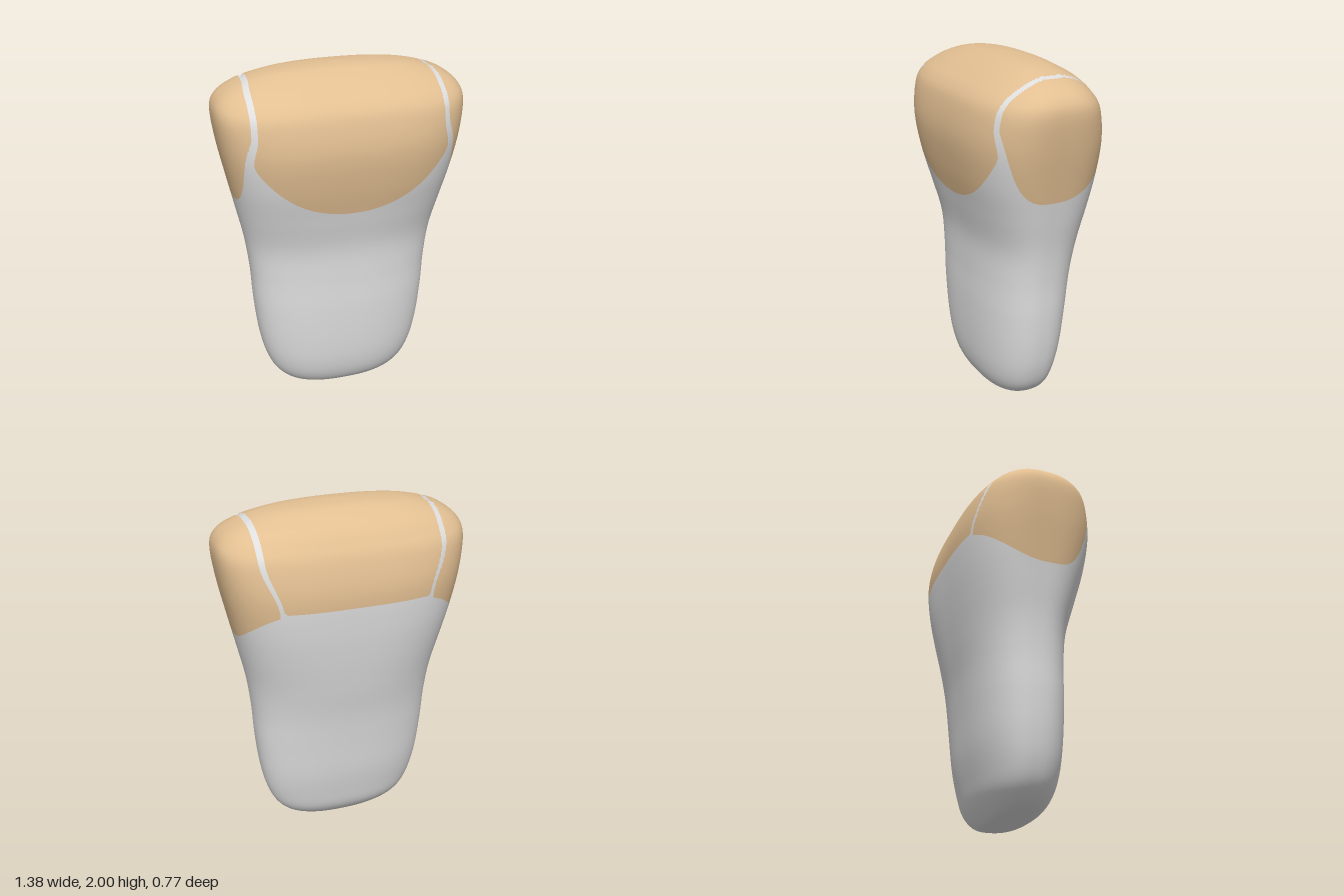
import * as THREE from 'three';

const { smoothstep } = THREE.MathUtils;

// Body levels from the foot up: height, half width, front depth, back depth
const LEVELS = [
  [0, 0, 0, 0], [0.008, 0.17, 0.09, 0.08], [0.04, 0.31, 0.16, 0.125],
  [0.115, 0.4, 0.21, 0.175], [0.23, 0.455, 0.24, 0.205], [0.39, 0.49, 0.255, 0.235],
  [0.6, 0.512, 0.262, 0.258], [0.8, 0.523, 0.261, 0.283], [1.0, 0.547, 0.27, 0.32],
  [1.2, 0.588, 0.315, 0.352], [1.4, 0.63, 0.362, 0.375], [1.6, 0.67, 0.386, 0.382],
  [1.77, 0.69, 0.36, 0.345], [1.85, 0.667, 0.315, 0.3], [1.905, 0.6, 0.245, 0.255],
  [1.94, 0.52, 0.19, 0.205], [1.975, 0.386, 0.12, 0.14], [1.992, 0.21, 0.07, 0.085],
  [2, 0, 0, 0],
];
const COLS = 440, ROWS = (LEVELS.length - 1) * 6, GROOVE = 0.012;

const curve = (depth) => new THREE.CatmullRomCurve3(
  LEVELS.map((l) => new THREE.Vector3(l[1], l[0], l[depth])), false, 'catmullrom');

// Sections are rounder at the waist and crown, squarer at the shoulders
const squareness = (y) => 2.45 + 0.6 * smoothstep(y, 0.9, 1.5) - 0.6 * smoothstep(y, 1.75, 2);

// Smooth loft of rounded sections
function loft() {
  const front = curve(2), back = curve(3), pos = [], index = [];
  for (let r = 0; r <= ROWS; r++) {
    const f = front.getPoint(r / ROWS), b = back.getPoint(r / ROWS), e = squareness(f.y);
    for (let c = 0; c < COLS; c++) {
      const a = (c / COLS) * Math.PI * 2, x = Math.cos(a), z = Math.sin(a);
      const k = (Math.abs(x) ** e + Math.abs(z) ** e) ** (-1 / e);
      pos.push(k * x * f.x, f.y, k * z * (z > 0 ? f.z : b.z));
      if (r === ROWS) continue;
      const i = r * COLS + c, j = r * COLS + ((c + 1) % COLS);
      if (r < ROWS - 1) index.push(i, i + COLS, j + COLS);
      if (r > 0) index.push(i, j + COLS, j);
    }
  }
  const g = new THREE.BufferGeometry();
  g.setAttribute('position', new THREE.Float32BufferAttribute(pos, 3));
  g.setIndex(index);
  g.computeVertexNormals();
  return g;
}

// panel: positive inside the tan panels; depth: how far the seam is sunk
function layout({ x: px, y, z }) {
  const x = Math.abs(px);
  const seam = z > 0
    ? 0.51 + 0.012 * smoothstep(z, 0, 0.15) + 0.025 * (1 - smoothstep(y, 1.58, 1.72))
    : 0.51 + 0.04 * z - 0.085 * (1 - smoothstep(y, 1.5, 1.8));
  const half = z > 0 ? 0.016 : 0.016 - 0.005 * (1 - smoothstep(y, 1.55, 1.85));
  const middle = y - (z > 0 ? 1.245 + 0.766 * x ** 2 + 1.17 * x ** 4 : 1.52);
  const end = y - (1.305 + (z > 0 ? 45 * z ** 4 : 1.65 * z ** 2));
  return {
    panel: Math.max(Math.min(seam - half - x, middle), Math.min(x - seam - half, end)),
    depth: GROOVE * smoothstep(half - Math.abs(x - seam), 0, 0.006)
      * smoothstep(Math.min(middle, end), 0, 0.12),
  };
}

// Part of a triangle where sign * field is not negative
function clip(tri, sign) {
  const out = [];
  tri.forEach((a, i) => {
    const b = tri[(i + 1) % 3];
    if (a.f * sign >= 0) out.push(a);
    if (a.f * b.f < 0) {
      const t = a.f / (a.f - b.f);
      out.push({ p: a.p.clone().lerp(b.p, t), n: a.n.clone().lerp(b.n, t).normalize() });
    }
  });
  return out;
}

// Keep one side of the colour boundary as its own geometry
function region(g, sign) {
  const P = g.attributes.position, N = g.attributes.normal, pos = [], nor = [];
  const verts = Array.from({ length: P.count }, (_, i) => {
    const p = new THREE.Vector3().fromBufferAttribute(P, i);
    const n = new THREE.Vector3().fromBufferAttribute(N, i);
    const { panel, depth } = layout(p);
    return { p: p.addScaledVector(n, -depth), n, f: panel || 1e-6 };
  });
  const idx = g.index.array;
  for (let i = 0; i < idx.length; i += 3) {
    const poly = clip([verts[idx[i]], verts[idx[i + 1]], verts[idx[i + 2]]], sign);
    for (let k = 2; k < poly.length; k++) {
      for (const v of [poly[0], poly[k - 1], poly[k]]) {
        pos.push(v.p.x, v.p.y, v.p.z);
        nor.push(v.n.x, v.n.y, v.n.z);
      }
    }
  }
  const out = new THREE.BufferGeometry();
  out.setAttribute('position', new THREE.Float32BufferAttribute(pos, 3));
  out.setAttribute('normal', new THREE.Float32BufferAttribute(nor, 3));
  return out;
}

export function createModel() {
  const group = new THREE.Group();
  group.name = 'paddedBlock';
  const surface = loft();
  const add = (name, sign, colorName, color) => {
    const material = new THREE.MeshStandardMaterial({ color });
    material.name = colorName;
    const mesh = new THREE.Mesh(region(surface, sign), material);
    mesh.name = name;
    group.add(mesh);
  };
  add('bodyAndSeams', -1, 'lightGrey', 0xdedede);
  add('topPanels', 1, 'tan', 0xe2bf92);
  return group;
}
